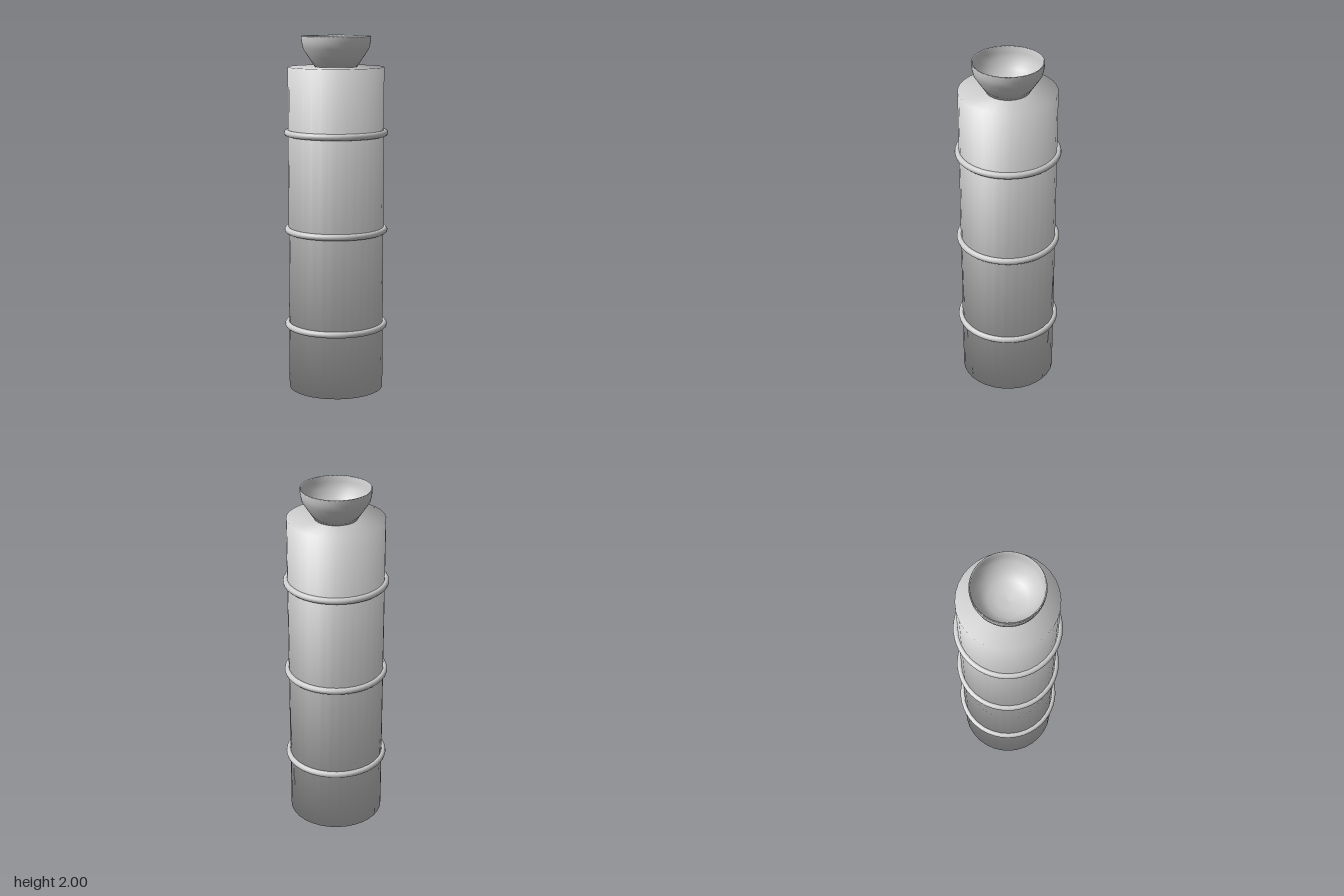
import * as THREE from 'three';

const BODY_HEIGHT = 1.83;
const BODY_RADIUS = 0.268;

// Closed cylinder whose normals blend smoothly from the wall into both caps
function softCylinder(radius, height, sides) {
  const geometry = new THREE.CylinderGeometry(radius, radius, height, sides);
  const { position, normal } = geometry.attributes;
  const n = new THREE.Vector3();
  for (let i = 0; i < position.count; i++) {
    n.fromBufferAttribute(position, i);
    n.set(n.x / radius, Math.sign(n.y), n.z / radius).normalize();
    normal.setXYZ(i, n.x, n.y, n.z);
  }
  return geometry;
}

export function createModel() {
  const model = new THREE.Group();
  model.name = 'bandedColumn';
  const grey = new THREE.MeshStandardMaterial({ color: 0xcccccc });
  grey.name = 'light grey';

  const add = (name, geometry, y = 0) => {
    const mesh = new THREE.Mesh(geometry, grey);
    mesh.name = name;
    mesh.position.y = y;
    model.add(mesh);
    return mesh;
  };

  // Main column
  add('column', softCylinder(BODY_RADIUS, BODY_HEIGHT, 32), BODY_HEIGHT / 2);

  // Three raised bands
  const ring = new THREE.TorusGeometry(0.273, 0.018, 12, 48).rotateX(Math.PI / 2);
  [0.37, 0.918, 1.466].forEach((y, i) => add(`band${i + 1}`, ring, y));

  // Thin-walled bowl on top: up the outside, over the rim, down the inside
  const profile = [
    [0, 1.825], [0.114, 1.825], [0.152, 1.882], [0.183, 1.93], [0.191, 1.965],
    [0.194, 1.996], [0.191, 2], [0.186, 1.996],
    [0.182, 1.965], [0.173, 1.93], [0.145, 1.885], [0.105, 1.852], [0.055, 1.838], [0, 1.834],
  ].map(([r, y]) => new THREE.Vector2(r, y));
  add('bowl', new THREE.LatheGeometry(profile, 48));

  return model;
}
